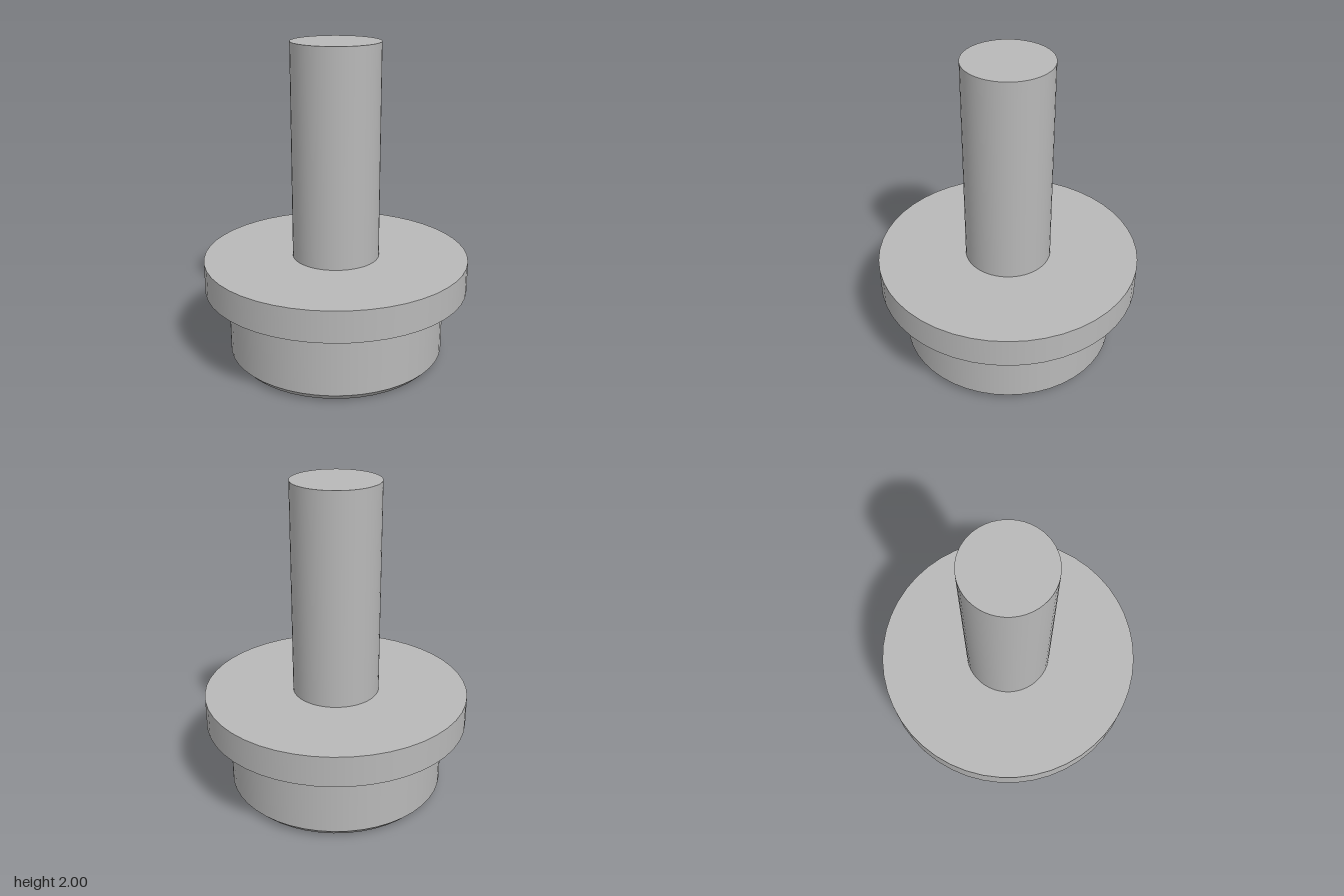
import * as THREE from 'three';

const SEGMENTS = 48;
const RECESS_DEPTH = 0.087;

// Bent arrow outline as (x, z), counter-clockwise
const ARROW = [
  [0.23, 0.255], [0.073, 0.255], [0.073, 0.065], [-0.1, 0.065], [-0.1, 0.327],
  [-0.48, 0.005], [-0.1, -0.327], [-0.1, -0.105], [0.23, -0.105],
].map(([x, z]) => new THREE.Vector2(x, z));

export function createModel() {
  const group = new THREE.Group();
  const metal = new THREE.MeshStandardMaterial({ color: 0xb8b8b8 });
  metal.name = 'grey metal';

  const add = (name, geometry, parent = group) => {
    const mesh = new THREE.Mesh(geometry, metal);
    mesh.name = name;
    parent.add(mesh);
  };

  // Turned surfaces: each pair of (radius, y) points is one band with sharp ends
  const addTurned = (name, profile) => {
    const part = new THREE.Group();
    part.name = name;
    for (let i = 0; i < profile.length - 1; i++) {
      const band = profile.slice(i, i + 2).map(([r, y]) => new THREE.Vector2(r, y));
      add(name + 'Band' + i, new THREE.LatheGeometry(band, SEGMENTS), part);
    }
    group.add(part);
  };
  addTurned('plug', [[0.64, 0], [0.685, 0.047], [0.685, 0.465]]);
  addTurned('flange', [[0.685, 0.465], [0.832, 0.465], [0.832, 0.66], [0.273, 0.66]]);
  addTurned('shank', [[0.273, 0.66], [0.273, 2], [0, 2]]);

  // Flat downward face from a shape drawn in (x, z)
  const faceDown = (shape, y) =>
    new THREE.ShapeGeometry(shape).rotateX(Math.PI / 2).translate(0, y, 0);

  // Underside with the arrow cut out
  const rim = [];
  for (let i = 0; i < SEGMENTS; i++) {
    const a = (i / SEGMENTS) * Math.PI * 2;
    rim.push(new THREE.Vector2(0.64 * Math.cos(a), 0.64 * Math.sin(a)));
  }
  const underside = new THREE.Shape(rim);
  underside.holes.push(new THREE.Path(ARROW));
  add('underside', faceDown(underside, 0));

  // Floor and walls of the arrow recess
  add('arrowRecessFloor', faceDown(new THREE.Shape(ARROW), RECESS_DEPTH));
  const positions = [];
  ARROW.forEach((a, i) => {
    const b = ARROW[(i + 1) % ARROW.length];
    const a0 = [a.x, 0, a.y], b0 = [b.x, 0, b.y];
    const a1 = [a.x, RECESS_DEPTH, a.y], b1 = [b.x, RECESS_DEPTH, b.y];
    positions.push(...a0, ...b0, ...b1, ...a0, ...b1, ...a1);
  });
  const walls = new THREE.BufferGeometry();
  walls.setAttribute('position', new THREE.Float32BufferAttribute(positions, 3));
  walls.computeVertexNormals();
  add('arrowRecessWalls', walls);

  return group;
}
